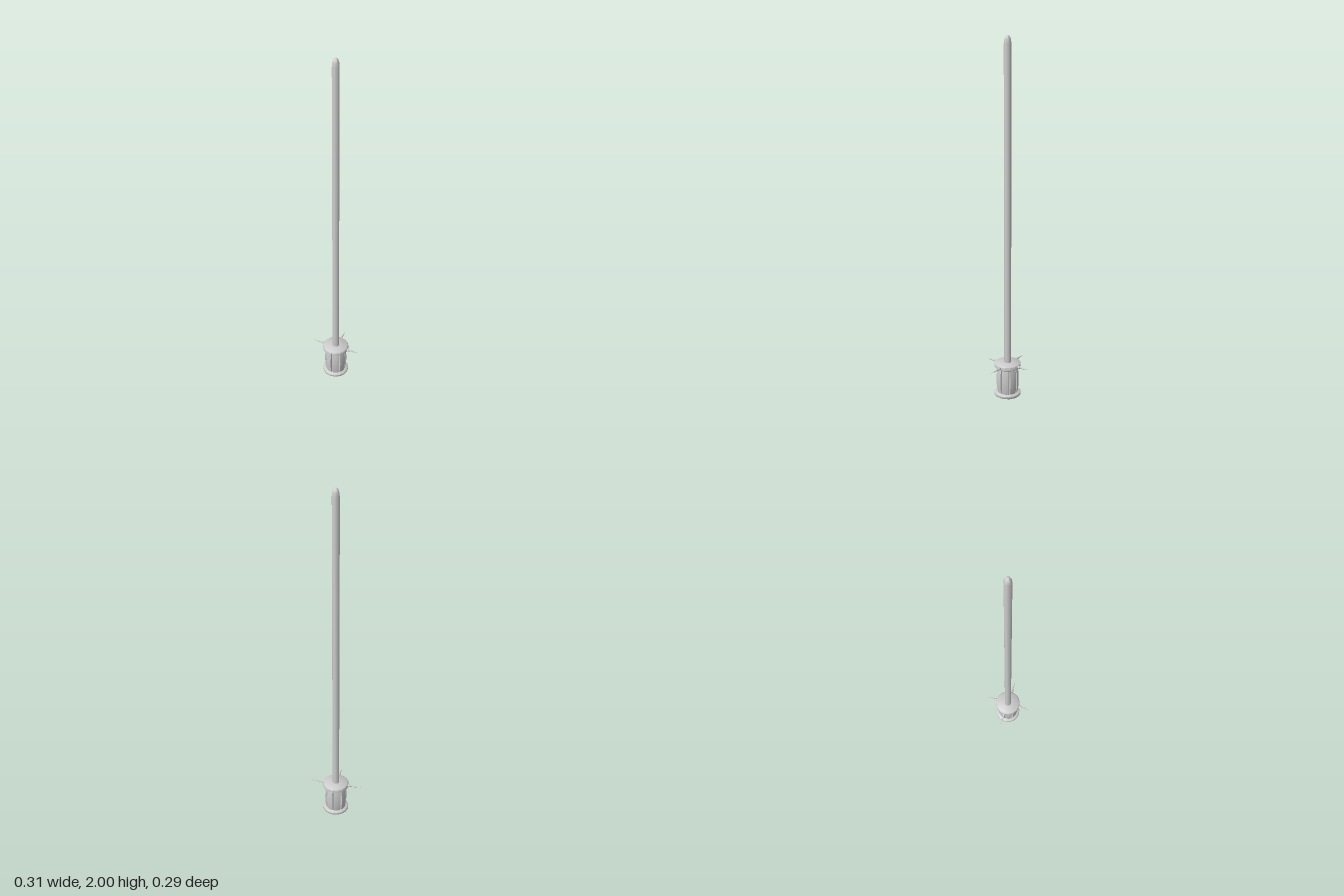
import * as THREE from 'three';
import { toCreasedNormals } from 'three/addons/utils/BufferGeometryUtils.js';

const material = new THREE.MeshStandardMaterial({ color: 0xcccccc });

function addMesh(parent, name, geometry, crease = 0.7) {
  const mesh = new THREE.Mesh(toCreasedNormals(geometry, crease), material);
  mesh.name = name;
  parent.add(mesh);
  return mesh;
}

// Turned part from [radius, height] pairs, listed bottom to top
function turned(points, sides) {
  return new THREE.LatheGeometry(points.map(([r, y]) => new THREE.Vector2(r, y)), sides);
}

// Grip slat: a thin box whose middle bows outward
function slatGeometry() {
  const height = 0.152;
  const geometry = new THREE.BoxGeometry(0.038, height, 0.012, 2, 6, 1);
  const p = geometry.attributes.position;
  for (let i = 0; i < p.count; i++) {
    const t = p.getY(i) / (height / 2);
    const curve = 0.004 * (1 - Math.abs(p.getX(i)) / 0.019);
    p.setZ(i, p.getZ(i) + 0.007 * (1 - t * t) + curve);
  }
  return geometry;
}

export function createModel() {
  const model = new THREE.Group();
  model.name = 'sword';

  // Long round blade with a domed tip
  addMesh(model, 'blade', turned([
    [0, 0.2], [0.02, 0.2], [0.02, 1.955], [0.018, 1.975], [0.013, 1.99], [0.007, 1.998], [0, 2],
  ], 8), 0.9);

  // Guard disc with softened rims
  addMesh(model, 'guard', turned([
    [0, 0.187], [0.068, 0.187], [0.075, 0.192], [0.075, 0.21], [0.068, 0.216], [0, 0.216],
  ], 16), 0.9);

  // Grip core and bowed slats
  addMesh(model, 'gripCore', turned([[0, 0.035], [0.052, 0.035], [0.054, 0.11], [0.052, 0.19], [0, 0.19]], 16));
  const slats = new THREE.Group();
  slats.name = 'gripSlats';
  model.add(slats);
  for (let i = 0; i < 8; i++) {
    const pivot = new THREE.Group();
    pivot.rotation.y = ((i + 0.5) * Math.PI) / 4;
    addMesh(pivot, 'gripSlat', slatGeometry()).position.set(0, 0.112, 0.047);
    slats.add(pivot);
  }

  // Pommel plate and button
  addMesh(model, 'pommelPlate', turned([
    [0, 0.02], [0.07, 0.02], [0.075, 0.025], [0.075, 0.036], [0.069, 0.041], [0, 0.041],
  ], 16), 0.9);
  addMesh(model, 'pommelButton', turned([
    [0, 0], [0.017, 0], [0.024, 0.006], [0.024, 0.024], [0, 0.024],
  ], 12));

  // Four guard spikes, the side pair slightly longer
  for (let i = 0; i < 4; i++) {
    const spike = new THREE.Group();
    spike.name = 'guardSpike';
    spike.rotation.y = (i * Math.PI) / 2;
    spike.position.y = 0.202;
    model.add(spike);

    const tip = i % 2 ? 0.145 : 0.155;
    const length = tip - 0.068;
    const point = new THREE.ConeGeometry(0.0075, length, 6).rotateZ(-Math.PI / 2);
    addMesh(spike, 'spikePoint', point, 1.2).position.x = 0.068 + length / 2;

    const collar = new THREE.CylinderGeometry(0.0085, 0.0085, 0.016, 8).rotateZ(-Math.PI / 2);
    addMesh(spike, 'spikeCollar', collar, 0.9).position.x = 0.076;
  }

  return model;
}
